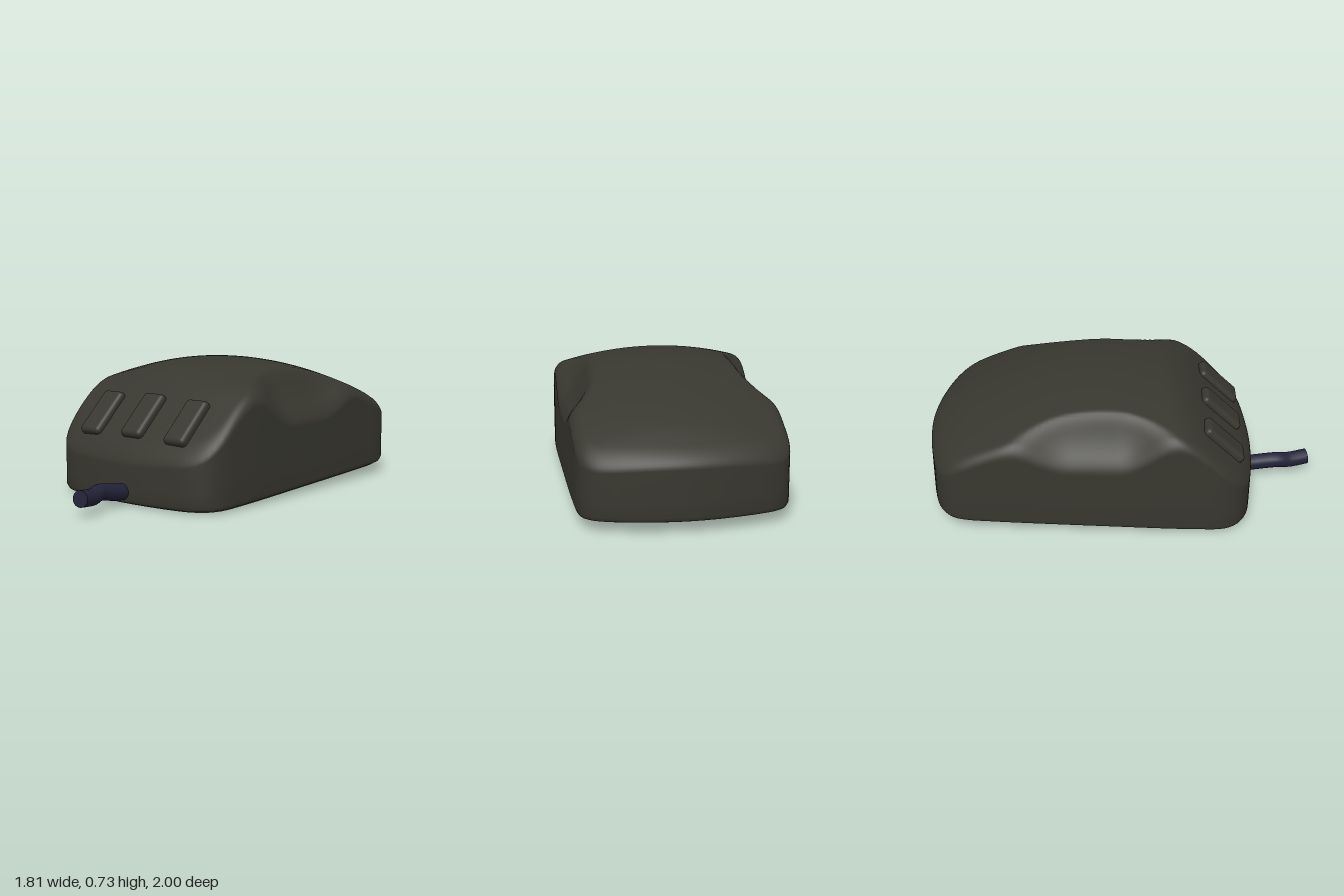
import * as THREE from 'three';
import { RoundedBoxGeometry } from 'three/addons/geometries/RoundedBoxGeometry.js';

const mat = (name, color, side = THREE.FrontSide) => {
  const m = new THREE.MeshStandardMaterial({ color, side });
  m.name = name;
  return m;
};

// Smooth minimum blends the top surfaces with soft creases
function smin(a, b, k) {
  const h = Math.max(k - Math.abs(a - b), 0) / k;
  return Math.min(a, b) - h * h * k * 0.25;
}
const ss = THREE.MathUtils.smoothstep;

// Plan outline, mirrored from one half
const half = [[0, 0.865], [0.3, 0.845], [0.43, 0.82], [0.51, 0.775], [0.555, 0.7], [0.57, 0.55], [0.575, 0],
  [0.572, -0.6], [0.565, -0.75], [0.545, -0.82], [0.49, -0.875], [0.29, -0.935], [0, -0.966]];
const mirrored = half.slice(1, -1).reverse().map(([x, z]) => [-x, z]);
const outline = new THREE.CatmullRomCurve3(
  [...half, ...mirrored].map(([x, z]) => new THREE.Vector3(x, 0, z)), true)
  .getSpacedPoints(160).slice(0, -1);

// Centre-line crown height along the length
const crown = new THREE.SplineCurve([[-1, 0.4], [-0.75, 0.53], [-0.5, 0.63], [-0.25, 0.7], [0, 0.73],
  [0.25, 0.715], [0.5, 0.67], [0.75, 0.59], [1, 0.48]].map(p => new THREE.Vector2(...p)));
const crownAt = z => crown.getPoint((z + 1) / 2).y;
const panelAt = (x, z) => 0.28 + 0.95 * (0.86 - 0.04 * (x / 0.57) ** 2 - z);
const baseAt = z => 0.01 + 0.0328 * (0.865 - z);

// Top surface: dome cut by the sloping button panel and the two side grips
function topAt(x, z) {
  const dome = crownAt(z) - 0.09 * (x / 0.57) ** 2;
  const d = Math.max(0.575 - Math.abs(x), 0);
  const grip = 0.44 + 0.2 * ss(z, 0.1, 0.52) + 0.14 * ss(-z, 0.15, 0.6) + 0.6 * d + 5.5 * d * d;
  return smin(smin(dome, grip, 0.06), panelAt(x, z), 0.07);
}

// Joins scaled copies of the outline; each ring is [scale, height rule]
function loft(rings) {
  const n = outline.length, pos = [], idx = [];
  for (const [s, yAt] of rings)
    for (const p of outline) pos.push(p.x * s, yAt(p.x * s, p.z * s), p.z * s);
  for (let j = 0; j < rings.length - 1; j++)
    for (let i = 0; i < n; i++) {
      const k = (i + 1) % n, a = j * n + i, b = j * n + k;
      idx.push(a, a + n, b + n, a, b + n, b);
    }
  const g = new THREE.BufferGeometry();
  g.setAttribute('position', new THREE.Float32BufferAttribute(pos, 3));
  g.setIndex(idx);
  g.computeVertexNormals();
  return g;
}

export function createModel() {
  const shellMat = mat('charcoal shell', 0x38372f);
  const plateMat = mat('dark underside', 0x302f29);
  const padMat = mat('grey pads', 0x55544d);
  const holeMat = mat('black recess', 0x171713);
  const cableMat = mat('navy cable', 0x23233a, THREE.DoubleSide);

  const model = new THREE.Group();
  const body = new THREE.Group();
  body.name = 'mouseBody';
  body.rotation.y = -0.656;
  body.position.set(-0.02, 0, -0.015);
  model.add(body);

  const add = (parent, name, geo, material, x = 0, y = 0, z = 0) => {
    const m = new THREE.Mesh(geo, material);
    m.name = name;
    m.position.set(x, y, z);
    parent.add(m);
    return m;
  };

  // Shell: domed top, rounded edge, straight wall, small lower bevel
  const R = 0.055, rings = [];
  for (let i = 0; i <= 40; i++) rings.push([0.001 + 0.907 * i / 40, topAt]);
  for (let i = 1; i <= 8; i++) {
    const t = i / 8 * Math.PI / 2;
    const drop = R * (1 - Math.cos(t));
    rings.push([0.908 + 0.092 * Math.sin(t), (x, z) => topAt(x, z) - drop]);
  }
  for (const f of [0.7, 0.35, 0])
    rings.push([1, (x, z) => {
      const b = baseAt(z) + 0.03;
      return b + (topAt(x, z) - R - b) * f;
    }]);
  const rim = (x, z) => baseAt(z) + 0.006;
  rings.push([0.985, rim], [0.985, rim], [0.93, rim]);
  add(body, 'shell', loft(rings), shellMat);

  // Base plate
  const low = (x, z) => baseAt(z) - 0.005;
  add(body, 'basePlate', loft([[0.955, (x, z) => baseAt(z) + 0.02], [0.955, low], [0.955, low], [0.001, low]]), plateMat);

  // Three buttons lying on the sloped panel
  for (const x of [-0.305, 0, 0.305]) {
    const b = add(body, 'button', new RoundedBoxGeometry(0.145, 0.08, 0.29, 4, 0.025), shellMat,
      x, panelAt(x, 0.675) - 0.005, 0.675);
    b.rotation.x = Math.atan(0.95);
  }

  // Underside details, tilted with the base
  const under = new THREE.Group();
  under.name = 'undersideDetails';
  under.position.y = baseAt(0) - 0.005;
  under.rotation.x = 0.0328;
  body.add(under);
  const disc = (name, r, x, z, material, sx = 1, h = 0.006) => {
    const m = add(under, name, new THREE.CylinderGeometry(r, r, h, 32), material, x, 0, z);
    m.scale.x = sx;
    return m;
  };
  for (const x of [-0.39, 0.39]) disc('rearPad', 0.055, x, -0.78, padMat, 0.75);
  for (const x of [-0.15, 0.15]) disc('frontPad', 0.055, x, 0.74, padMat, 0.75);
  for (const x of [-0.43, 0.43]) disc('cornerPad', 0.06, x, 0.65, plateMat, 1.1);
  disc('screwHole', 0.09, 0, -0.72, holeMat);
  disc('sensorWindow', 0.12, -0.09, -0.27, holeMat);
  const ring = add(under, 'sensorRing', new THREE.TorusGeometry(0.21, 0.025, 8, 40), plateMat, -0.09, 0, -0.27);
  ring.rotation.x = Math.PI / 2;
  ring.scale.z = 0.25;

  // Raised label frame
  for (const s of [-1, 1]) {
    add(under, 'labelFrameSide', new THREE.BoxGeometry(0.012, 0.008, 0.86), plateMat, 0.33 + s * 0.12, 0, 0);
    add(under, 'labelFrameEnd', new THREE.BoxGeometry(0.25, 0.008, 0.012), plateMat, 0.33, 0, s * 0.43);
  }
  const arrow = add(under, 'triangleMark', new THREE.TorusGeometry(0.08, 0.01, 4, 3), plateMat, -0.37, 0, -0.48);
  arrow.rotation.x = Math.PI / 2;
  arrow.scale.z = 0.4;

  // Cable stub leaving the front
  const path = new THREE.CatmullRomCurve3([[-0.5, 0.07, 0.6], [-0.56, 0.08, 0.71], [-0.64, 0.1, 0.81],
    [-0.67, 0.09, 0.88], [-0.715, 0.1, 0.975]].map(p => new THREE.Vector3(...p)));
  add(model, 'cable', new THREE.TubeGeometry(path, 32, 0.045, 14), cableMat);
  const end = add(model, 'cableEnd', new THREE.CircleGeometry(0.045, 14), cableMat, -0.715, 0.1, 0.975);
  end.lookAt(end.position.clone().add(path.getTangent(1)));

  return model;
}
